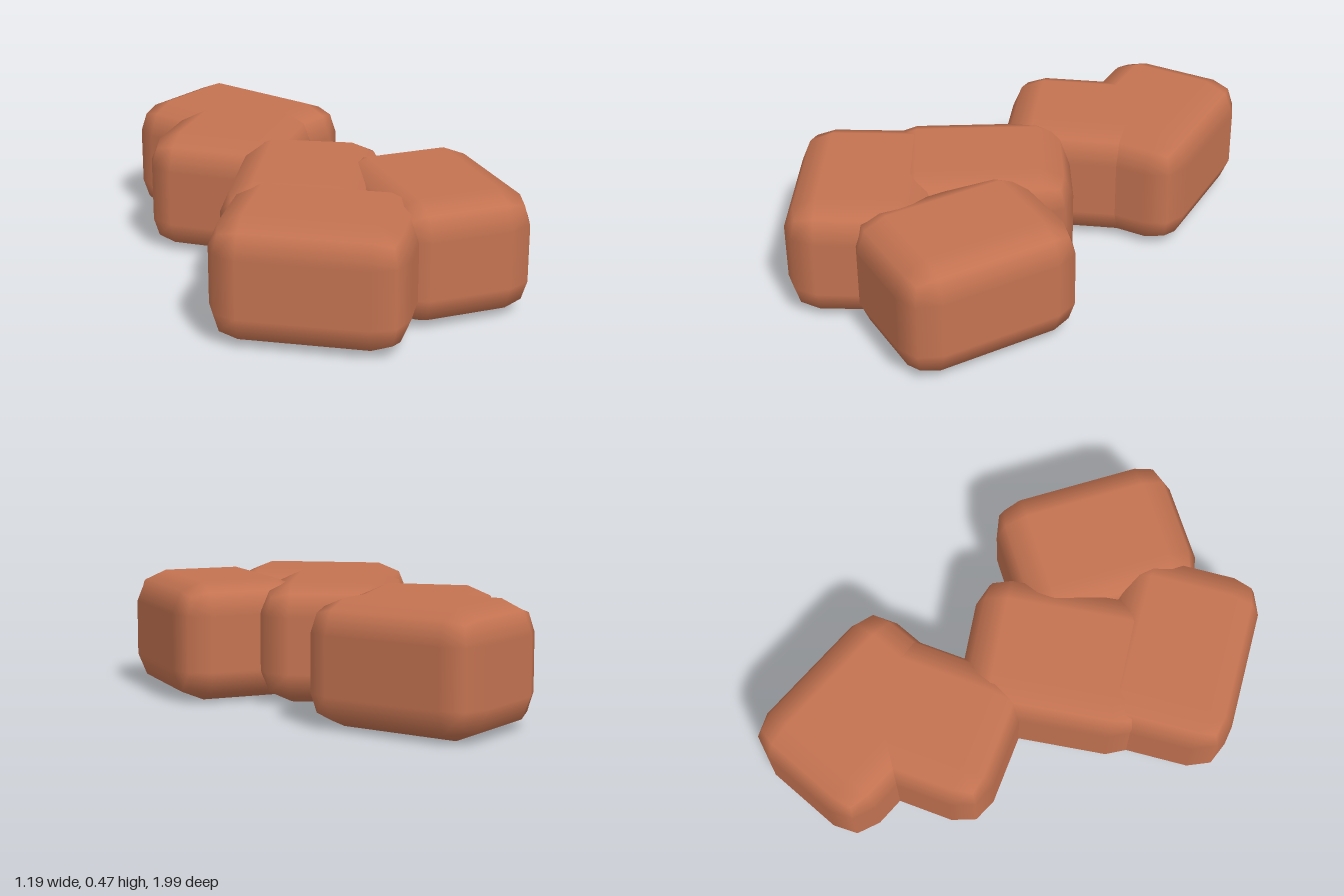
import * as THREE from 'three';
import { RoundedBoxGeometry } from 'three/addons/geometries/RoundedBoxGeometry.js';

export function createModel() {
  const model = new THREE.Group();
  model.name = 'brickCluster';

  const clay = new THREE.MeshStandardMaterial({ color: 0xc47351 });
  clay.name = 'clay';

  // One soft-edged brick shape, shared by all
  const width = 0.56, height = 0.47, length = 0.72;
  const brick = new RoundedBoxGeometry(width, height, length, 1, 0.125);

  // name, centre x and z, direction of the long axis (x, z)
  const bricks = [
    ['frontBrick', -0.193, 0.618, 0.863, 0.505],
    ['middleBrick', -0.1, 0.19, -0.44, 0.9],
    ['leftBrick', 0.307, 0.451, 0.03, 1],
    ['rearMiddleBrick', -0.188, -0.391, 0.59, -0.81],
    ['backBrick', -0.127, -0.593, 0.555, 0.832],
  ];

  for (const [name, x, z, dx, dz] of bricks) {
    const mesh = new THREE.Mesh(brick, clay);
    mesh.name = name;
    mesh.position.set(x, height / 2, z);
    mesh.rotation.y = Math.atan2(dx, dz);
    model.add(mesh);
  }
  return model;
}
